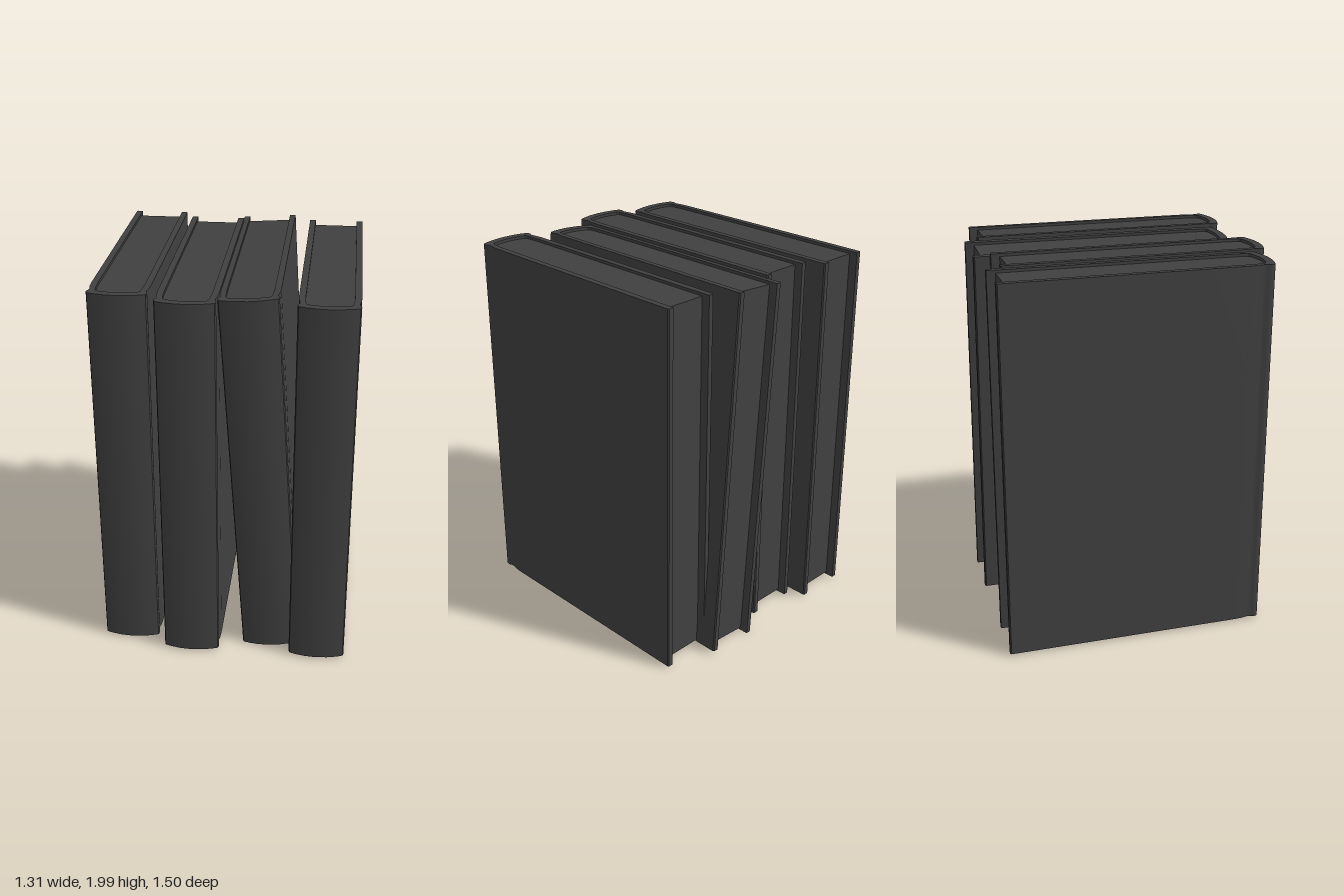
import * as THREE from 'three';
import { toCreasedNormals } from 'three/addons/utils/BufferGeometryUtils.js';

const HEIGHT = 1.98, RECESS = 0.015;

// Half profiles seen from above, as [x, z] from the fore edge to the middle of the spine
const outerHalf = [
  [0.117, -0.75], [0.142, -0.75], [0.1475, -0.744], [0.1475, 0.5], [0.145, 0.54], [0.139, 0.575],
  [0.139, 0.59], [0.146, 0.606], [0.1475, 0.618], [0.142, 0.634], [0.11, 0.645], [0.06, 0.656], [0, 0.661],
];
const innerHalf = [
  [0.115, -0.744], [0.115, 0.5], [0.111, 0.57], [0.108, 0.592], [0.098, 0.603], [0.05, 0.614], [0, 0.618],
];

// Right half followed by its mirror image
const mirrored = (half) => [
  ...half,
  ...half.slice(0, -1).reverse().map(([x, z]) => [-x, z]),
];

const toPoints = (list) => list.map(([x, z]) => new THREE.Vector2(x, z));

// Upright prism centred on y = 0
function prism(points, height) {
  const geo = new THREE.ExtrudeGeometry(new THREE.Shape(points), {
    depth: height, bevelEnabled: false,
  });
  geo.rotateX(Math.PI / 2);
  geo.translate(0, height / 2, 0);
  return toCreasedNormals(geo, 0.6);
}

export function createModel() {
  const group = new THREE.Group();
  group.name = 'books';
  const material = new THREE.MeshStandardMaterial({ color: 0x404040 });

  // Cover: two boards joined by the rounded spine
  const coverGeo = prism(
    toPoints([...mirrored(outerHalf), ...mirrored(innerHalf).reverse()]), HEIGHT);

  // Page block: fills the cover, set in from the fore edge, top and bottom
  const pageHalf = innerHalf.map(([x, z], i) => [x, i === 0 ? -0.705 : z]);
  const pagesGeo = prism(toPoints(mirrored(pageHalf)), HEIGHT - 2 * RECESS);

  // x, y, z of the centre and lean of each book
  const books = [
    [-0.507, 1.005, 0, 0],
    [-0.169, 1.005, 0.084, 0],
    [0.185, 1.0, 0, 0.0647],
    [0.503, 1.005, 0.084, 0],
  ];
  books.forEach(([x, y, z, lean], i) => {
    const book = new THREE.Group();
    book.name = `book${i + 1}`;
    const cover = new THREE.Mesh(coverGeo, material);
    cover.name = 'cover';
    const pages = new THREE.Mesh(pagesGeo, material);
    pages.name = 'pages';
    book.add(cover, pages);
    book.position.set(x, y, z);
    book.rotation.z = lean;
    group.add(book);
  });
  return group;
}
